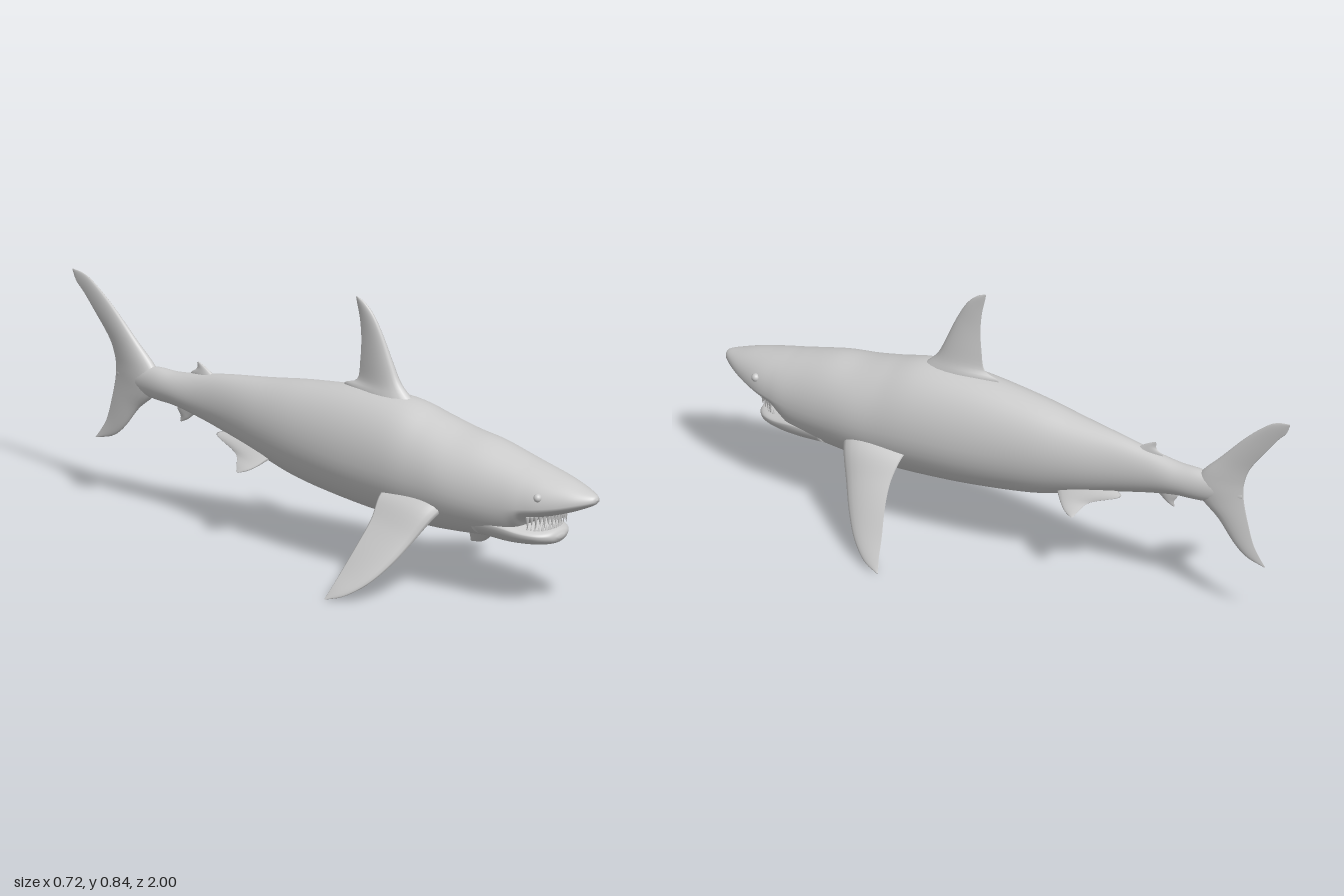
import * as THREE from 'three';

const material = new THREE.MeshStandardMaterial({ color: 0xcccccc, roughness: 0.8 });
const V = (p) => new THREE.Vector3(...p);
const smooth = (points) => new THREE.CatmullRomCurve3(points.map(V), false, 'catmullrom', 0.5);

// Skins a list of closed rings, caps both ends and turns the faces outward.
function skin(name, rings) {
  const n = rings[0].length, pos = [], idx = [];
  rings.forEach((r) => r.forEach((p) => pos.push(p.x, p.y, p.z)));
  for (let i = 0; i < rings.length - 1; i++) {
    for (let j = 0; j < n; j++) {
      const a = i * n + j, b = i * n + (j + 1) % n;
      idx.push(a, b, b + n, a, b + n, a + n);
    }
  }
  [0, rings.length - 1].forEach((i) => {
    const c = rings[i].reduce((s, p) => s.add(p), new THREE.Vector3()).divideScalar(n);
    const k = pos.length / 3;
    pos.push(c.x, c.y, c.z);
    for (let j = 0; j < n; j++) {
      const a = i * n + j, b = i * n + (j + 1) % n;
      idx.push(...(i ? [k, a, b] : [k, b, a]));
    }
  });
  const at = (i) => new THREE.Vector3().fromArray(pos, i * 3);
  let volume = 0;
  for (let i = 0; i < idx.length; i += 3) volume += at(idx[i]).dot(at(idx[i + 1]).cross(at(idx[i + 2])));
  if (volume < 0) idx.reverse();
  const g = new THREE.BufferGeometry();
  g.setAttribute('position', new THREE.Float32BufferAttribute(pos, 3));
  g.setIndex(idx);
  g.computeVertexNormals();
  const mesh = new THREE.Mesh(g, material);
  mesh.name = name;
  return mesh;
}

// Body-like form; each station is [z, top, bottom, half width, height of widest point].
function hull(name, stations, steps) {
  const heights = smooth(stations.map((s) => s.slice(0, 3)));
  const widths = smooth(stations.map((s) => [s[3], s[4], 0]));
  const rings = [];
  for (let i = 0; i <= steps; i++) {
    const h = heights.getPoint(i / steps), w = widths.getPoint(i / steps), ring = [];
    for (let j = 0; j < 40; j++) {
      const a = (j / 40) * Math.PI * 2, s = Math.sin(a);
      ring.push(new THREE.Vector3(Math.max(w.x, 0) * Math.cos(a),
        w.y + s * (s > 0 ? h.y - w.y : w.y - h.z), h.x));
    }
    rings.push(ring);
  }
  return skin(name, rings);
}

// Fin; each station is [leading point, trailing point, half thickness].
function fin(name, stations, side = 1, steps = 28) {
  const lead = smooth(stations.map((s) => s[0])), trail = smooth(stations.map((s) => s[1]));
  const thick = smooth(stations.map((s) => [s[2], 0, 0]));
  const span = lead.getPoint(1).add(trail.getPoint(1)).sub(lead.getPoint(0)).sub(trail.getPoint(0));
  const chord = trail.getPoint(0.4).sub(lead.getPoint(0.4));
  const normal = span.cross(chord).normalize();
  const rings = [];
  for (let i = 0; i <= steps; i++) {
    const t = i / steps, L = lead.getPoint(t), T = trail.getPoint(t), h = thick.getPoint(t).x;
    const ring = [];
    for (let j = 0; j < 20; j++) {
      const a = (j / 20) * Math.PI * 2, u = (1 - Math.cos(a)) / 2;
      const off = Math.sign(Math.sin(a)) * 2.6 * h * Math.sqrt(u) * (1 - u);
      const p = L.clone().lerp(T, u).addScaledVector(normal, j % 10 ? off : 0);
      p.x *= side;
      ring.push(p);
    }
    rings.push(ring);
  }
  return skin(name, rings);
}

// Fin lying in the middle plane; each station is [lead z, lead y, trail z, trail y, half thickness].
const middleFin = (name, rows, steps) =>
  fin(name, rows.map(([a, b, c, d, h]) => [[0, b, a], [0, d, c], h]), 1, steps);

// Row of teeth on an arc around the mouth.
function teeth(name, count, rx, rz, y, height, down) {
  const group = new THREE.Group();
  group.name = name;
  for (let i = 0; i < count; i++) {
    const a = (i / (count - 1) - 0.5) * 2.5;
    const h = height * (i % 2 ? 0.8 : 1);
    const tooth = new THREE.Mesh(new THREE.ConeGeometry(0.0075, h, 6), material);
    tooth.scale.z = 0.7;
    tooth.position.set(rx * Math.sin(a), y - (1 - Math.cos(a)) * 0.012 + (down ? -h / 2 : h / 2), 0.765 + rz * Math.cos(a));
    tooth.rotation.set(down ? Math.PI : 0, down ? -a : a, 0);
    tooth.name = 'tooth';
    group.add(tooth);
  }
  return group;
}

export function createModel() {
  const model = new THREE.Group();
  model.name = 'shark';

  // Body with snout, from nose to tail root
  model.add(hull('body', [
    [1, 0.379, 0.377, 0.001, 0.378],
    [0.99, 0.391, 0.362, 0.022, 0.373],
    [0.95, 0.405, 0.342, 0.052, 0.364],
    [0.9, 0.421, 0.322, 0.077, 0.352],
    [0.84, 0.436, 0.302, 0.1, 0.342],
    [0.785, 0.449, 0.284, 0.113, 0.335],
    [0.75, 0.457, 0.24, 0.12, 0.332],
    [0.7, 0.47, 0.2, 0.127, 0.33],
    [0.6, 0.494, 0.194, 0.14, 0.335],
    [0.5, 0.507, 0.186, 0.15, 0.345],
    [0.4, 0.53, 0.181, 0.151, 0.35],
    [0.28, 0.558, 0.184, 0.149, 0.36],
    [0.1, 0.558, 0.198, 0.136, 0.365],
    [-0.1, 0.538, 0.225, 0.113, 0.38],
    [-0.25, 0.515, 0.265, 0.088, 0.39],
    [-0.4, 0.495, 0.31, 0.058, 0.4],
    [-0.5, 0.478, 0.336, 0.045, 0.405],
    [-0.6, 0.463, 0.357, 0.042, 0.41],
    [-0.68, 0.463, 0.362, 0.035, 0.413],
    [-0.77, 0.45, 0.375, 0.019, 0.414],
    [-0.83, 0.42, 0.405, 0.003, 0.413],
  ], 120));

  // Lower jaw, running back into the throat
  model.add(hull('lowerJaw', [
    [0.862, 0.243, 0.232, 0.015, 0.238],
    [0.85, 0.258, 0.217, 0.05, 0.242],
    [0.82, 0.264, 0.208, 0.08, 0.245],
    [0.77, 0.272, 0.201, 0.1, 0.25],
    [0.7, 0.285, 0.196, 0.112, 0.26],
    [0.6, 0.29, 0.2, 0.11, 0.26],
  ], 30));
  model.add(teeth('upperTeeth', 19, 0.085, 0.097, 0.314, 0.04, true));
  model.add(teeth('lowerTeeth', 17, 0.077, 0.075, 0.252, 0.034, false));

  // First and second dorsal fins, and the anal fin
  model.add(middleFin('dorsalFin', [
    [0.33, 0.52, 0.06, 0.52, 0.04],
    [0.29, 0.555, 0.035, 0.557, 0.032],
    [0.25, 0.595, 0.085, 0.58, 0.023],
    [0.22, 0.655, 0.096, 0.64, 0.017],
    [0.185, 0.73, 0.1, 0.71, 0.011],
    [0.15, 0.79, 0.095, 0.77, 0.008],
    [0.115, 0.825, 0.085, 0.815, 0.005],
    [0.085, 0.84, 0.08, 0.838, 0.001],
  ]));
  model.add(middleFin('secondDorsalFin', [
    [-0.44, 0.465, -0.54, 0.455, 0.014],
    [-0.47, 0.485, -0.548, 0.473, 0.009],
    [-0.495, 0.5, -0.526, 0.49, 0.005],
    [-0.52, 0.512, -0.525, 0.508, 0.001],
  ], 12));
  model.add(middleFin('analFin', [
    [-0.51, 0.36, -0.6, 0.37, 0.012],
    [-0.54, 0.338, -0.6, 0.348, 0.008],
    [-0.56, 0.322, -0.588, 0.328, 0.005],
    [-0.585, 0.309, -0.59, 0.311, 0.001],
  ], 12));

  // Tail fin, from lower tip to upper tip
  model.add(middleFin('tailFin', [
    [-0.905, 0.195, -0.912, 0.195, 0.001],
    [-0.845, 0.213, -0.89, 0.225, 0.005],
    [-0.8, 0.25, -0.868, 0.265, 0.009],
    [-0.745, 0.32, -0.85, 0.33, 0.015],
    [-0.69, 0.368, -0.838, 0.385, 0.022],
    [-0.665, 0.413, -0.834, 0.425, 0.026],
    [-0.69, 0.465, -0.838, 0.465, 0.022],
    [-0.755, 0.53, -0.86, 0.52, 0.014],
    [-0.845, 0.622, -0.92, 0.598, 0.008],
    [-0.92, 0.684, -0.958, 0.645, 0.005],
    [-0.96, 0.704, -0.985, 0.673, 0.003],
    [-1, 0.71, -0.998, 0.7, 0.001],
  ], 48));

  // Paired fins and eyes
  for (const side of [1, -1]) {
    const label = side > 0 ? 'left' : 'right';
    model.add(fin(label + 'PectoralFin', [
      [[0.09, 0.3, 0.52], [0.09, 0.31, 0.28], 0.035],
      [[0.15, 0.255, 0.49], [0.15, 0.29, 0.285], 0.026],
      [[0.2, 0.185, 0.45], [0.2, 0.23, 0.293], 0.018],
      [[0.25, 0.12, 0.41], [0.25, 0.165, 0.282], 0.013],
      [[0.3, 0.062, 0.36], [0.3, 0.09, 0.262], 0.009],
      [[0.34, 0.022, 0.3], [0.335, 0.042, 0.25], 0.005],
      [[0.36, 0.005, 0.242], [0.358, 0.007, 0.238], 0.001],
    ], side));
    model.add(fin(label + 'PelvicFin', [
      [[0.03, 0.3, -0.18], [0.025, 0.325, -0.4], 0.014],
      [[0.058, 0.277, -0.21], [0.04, 0.31, -0.42], 0.011],
      [[0.08, 0.257, -0.235], [0.065, 0.278, -0.33], 0.007],
      [[0.097, 0.243, -0.26], [0.09, 0.253, -0.305], 0.004],
      [[0.107, 0.234, -0.288], [0.105, 0.236, -0.295], 0.001],
    ], side, 16));
    const eye = new THREE.Mesh(new THREE.SphereGeometry(0.013, 20, 14), material);
    eye.name = label + 'Eye';
    eye.position.set(side * 0.09, 0.377, 0.842);
    model.add(eye);
  }
  return model;
}
